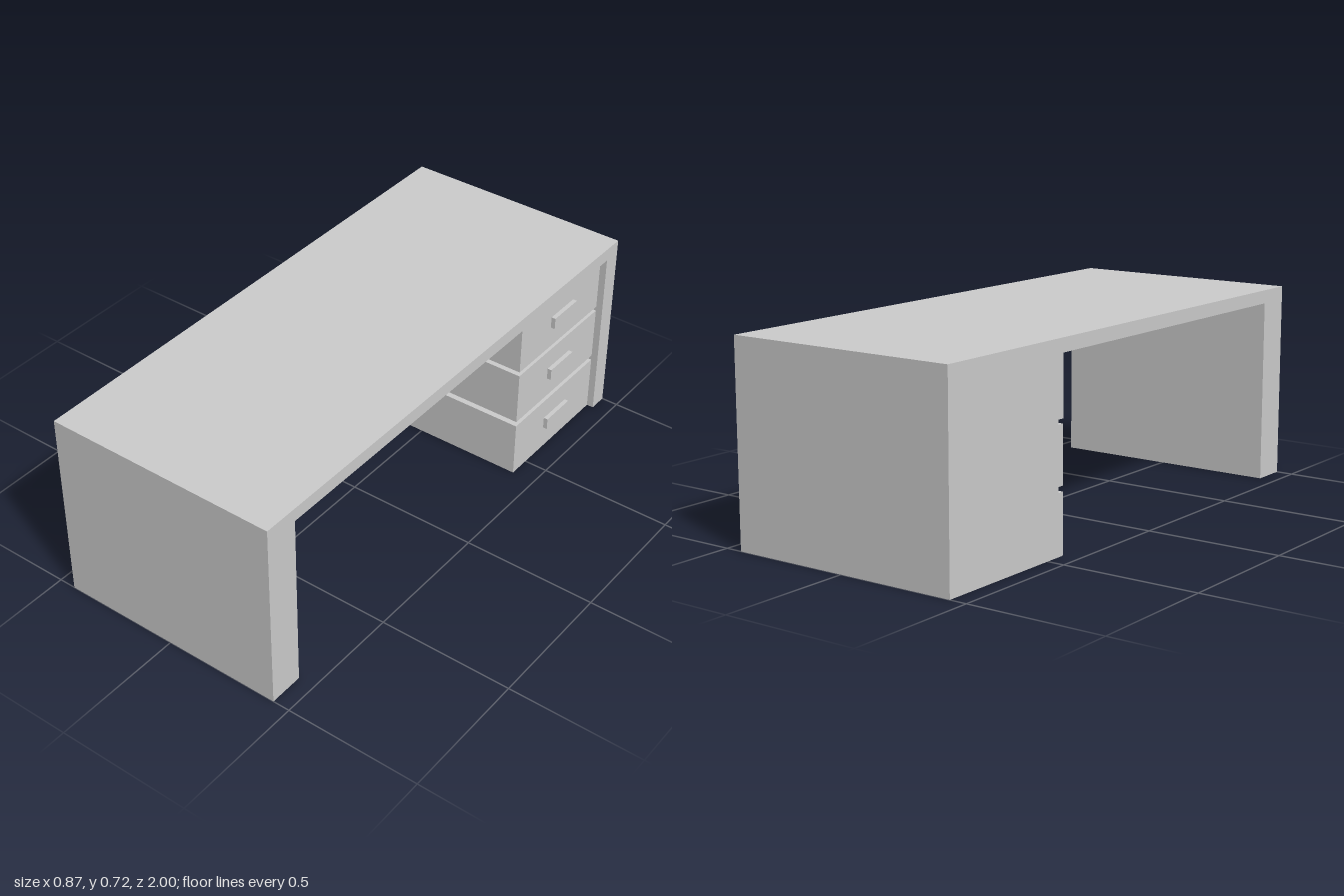
import * as THREE from 'three';

const material = new THREE.MeshStandardMaterial({ color: 0xcccccc });

// Box given by its minimum and maximum corners
function addBox(parent, name, [x0, y0, z0], [x1, y1, z1]) {
  const mesh = new THREE.Mesh(new THREE.BoxGeometry(x1 - x0, y1 - y0, z1 - z0), material);
  mesh.name = name;
  mesh.position.set((x0 + x1) / 2, (y0 + y1) / 2, (z0 + z1) / 2);
  parent.add(mesh);
}

export function createModel() {
  const desk = new THREE.Group();
  desk.name = 'desk';

  const half = 0.437;         // half depth of the desk along x
  const top = 0.717, under = 0.668;
  const panelZ = -0.93;       // inner face of the end panel beside the drawers
  const drawerZ = -0.417;     // inner side of the drawers
  const faceX = 0.411;        // drawer fronts, set back under the top
  const groove = 0.026;

  // Top and both end panels: one bridge-shaped outline extruded across the desk
  const outline = new THREE.Shape([
    [-1, 0], [-0.87, 0], [-0.87, under], [-panelZ, under],
    [-panelZ, 0], [1, 0], [1, top], [-1, top],
  ].map(([u, v]) => new THREE.Vector2(u, v)));
  const frameGeometry = new THREE.ExtrudeGeometry(outline, { depth: 2 * half, bevelEnabled: false });
  frameGeometry.translate(0, 0, -half).rotateY(Math.PI / 2);
  const frame = new THREE.Mesh(frameGeometry, material);
  frame.name = 'topAndEndPanels';
  desk.add(frame);

  // Three drawers with pulls, separated by recessed strips
  const pedestal = new THREE.Group();
  pedestal.name = 'drawerPedestal';
  desk.add(pedestal);
  const drawers = [[0, 0.214], [0.234, 0.438], [0.455, under]];
  drawers.forEach(([y0, y1], i) => {
    addBox(pedestal, 'drawer', [-half, y0, panelZ], [faceX, y1, drawerZ]);
    const pullY = 0.112 + i * 0.225;
    addBox(pedestal, 'drawerPull', [faceX, pullY - 0.022, -0.753], [faceX + 0.016, pullY + 0.022, -0.61]);
    if (i < 2) {
      addBox(pedestal, 'recessedStrip', [-half, y1, panelZ], [faceX - groove, drawers[i + 1][0], drawerZ - groove]);
    }
  });

  return desk;
}
